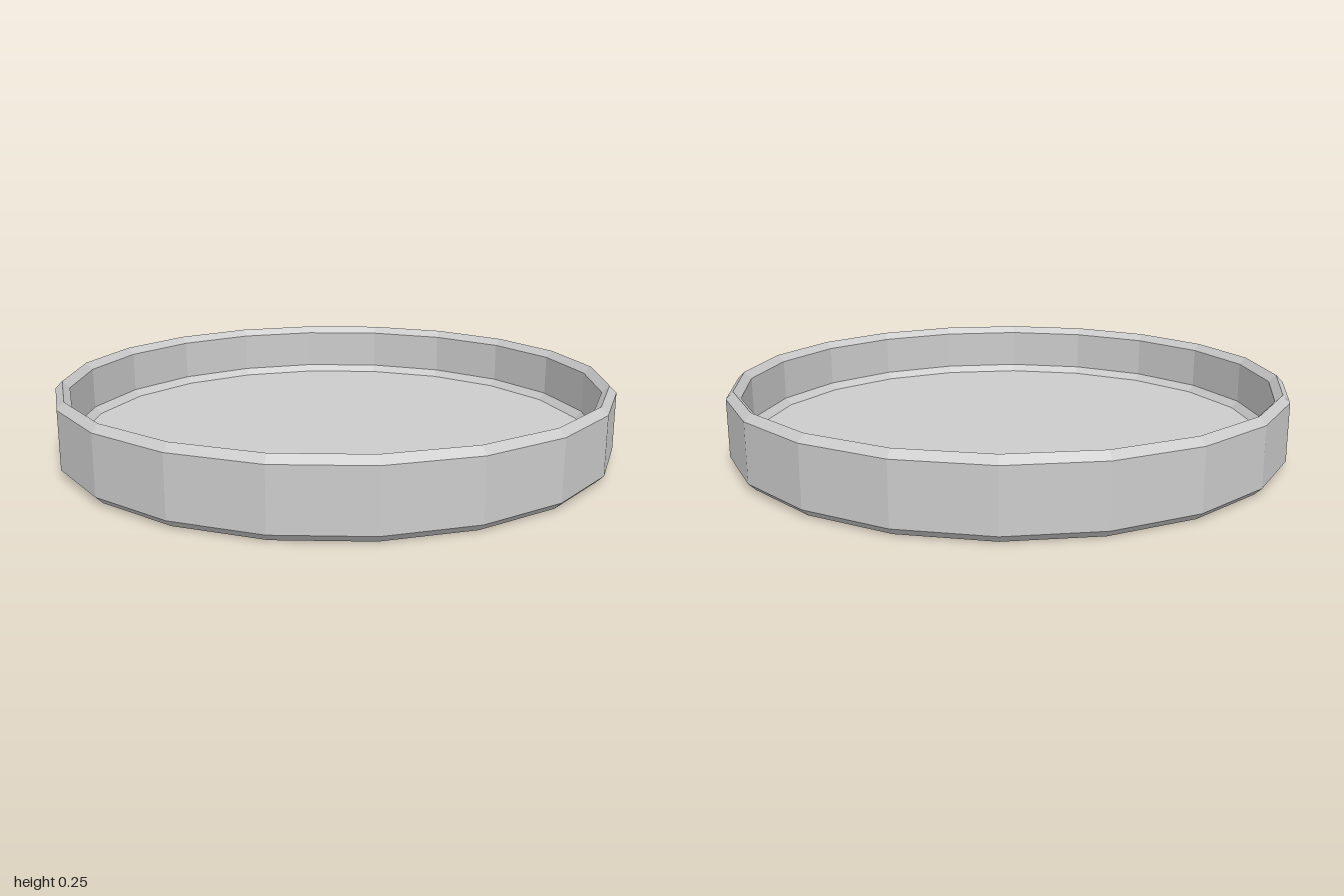
import * as THREE from 'three';

export function createModel() {
  const group = new THREE.Group();
  group.name = 'roundTray';

  // Cross-section from the underside centre, around the rim, to the floor centre
  const profile = [
    [0, 0], [0.975, 0],          // underside
    [1, 0.025], [1, 0.23],       // bottom chamfer and outer wall
    [0.975, 0.255],              // rim ridge
    [0.95, 0.23], [0.95, 0.08],  // inner wall
    [0.926, 0.055], [0, 0.055],  // inner chamfer and floor
  ].map(([r, y]) => new THREE.Vector2(r, y));

  // Twenty flat sides with corners on the x and z axes
  const tray = new THREE.Mesh(
    new THREE.LatheGeometry(profile, 20),
    new THREE.MeshStandardMaterial({ color: 0xcccccc, flatShading: true })
  );
  tray.name = 'tray';
  group.add(tray);
  return group;
}
